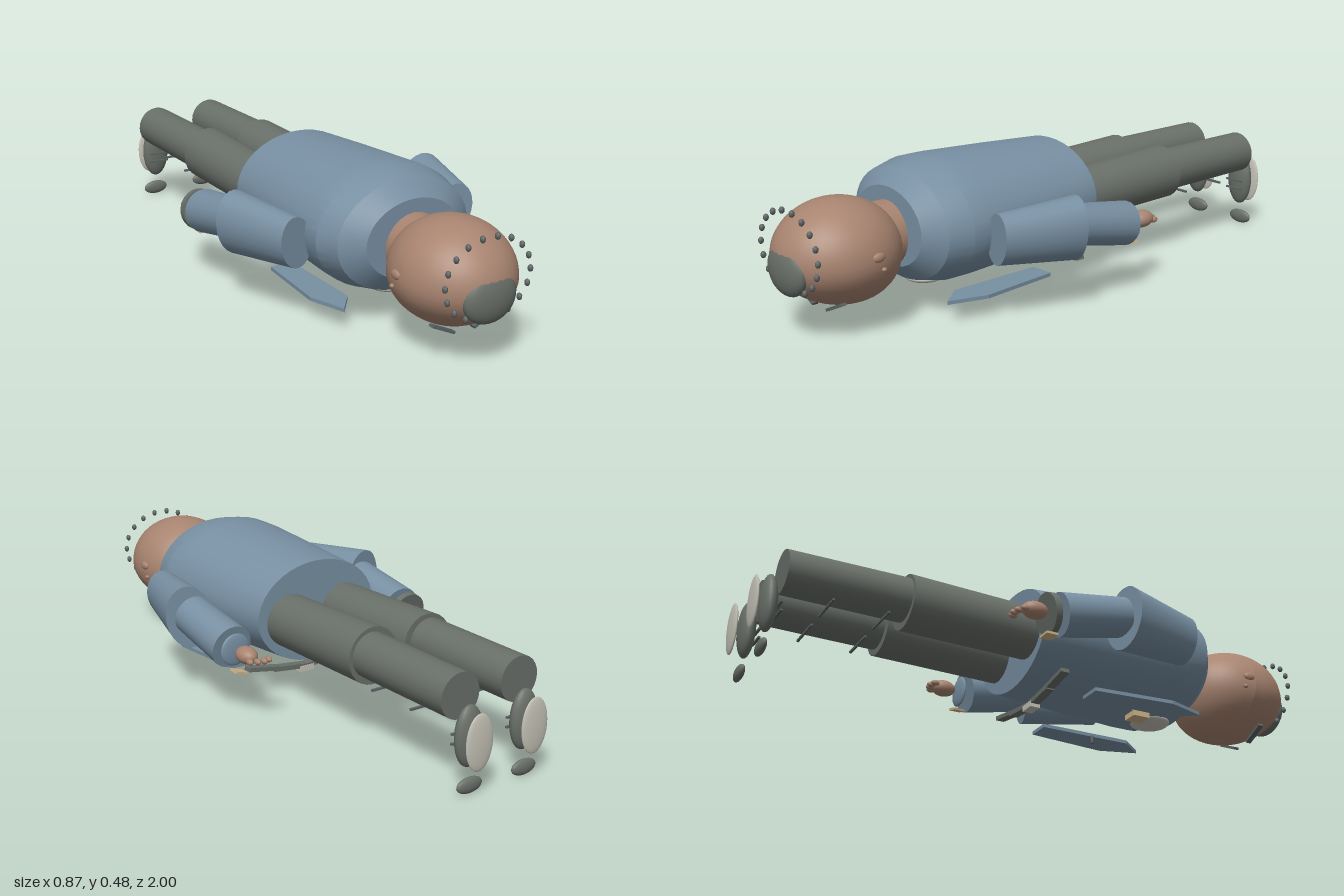
import * as THREE from 'three';
import { toCreasedNormals } from 'three/addons/utils/BufferGeometryUtils.js';

const mat = (name, color) => Object.assign(new THREE.MeshStandardMaterial({ color }), { name });
const V = (a) => new THREE.Vector3(...a);

export function createModel() {
  const model = new THREE.Group();
  model.name = 'lyingFigure';
  const blue = mat('blueCloth', 0x7890a3);
  const grey = mat('greyCloth', 0x696f69);
  const dark = mat('darkGrey', 0x5c6463);
  const skin = mat('skin', 0xa88470);
  const pale = mat('paleGrey', 0xc4c2b6);
  const tan = mat('tan', 0xcdb388);

  const add = (name, geo, material, pos = [0, 0, 0]) => {
    const m = new THREE.Mesh(geo, material);
    m.name = name;
    m.position.set(...pos);
    model.add(m);
    return m;
  };
  const ball = (name, material, pos, r, n = 24) =>
    add(name, new THREE.SphereGeometry(1, n, Math.ceil(n * 0.67)).scale(...r), material, pos);
  const box = (name, material, pos, size) => add(name, new THREE.BoxGeometry(...size), material, pos);
  // Cylinder from a to b; radii at each end, flattened by k across its depth
  const limb = (name, material, a, b, ra, rb, k = 1, n = 24) => {
    const d = V(b).sub(V(a));
    const m = add(name, new THREE.CylinderGeometry(rb, ra, d.length(), n).scale(1, 1, k), material);
    m.position.copy(V(a).add(V(b)).multiplyScalar(0.5));
    m.quaternion.setFromUnitVectors(new THREE.Vector3(0, 1, 0), d.normalize());
    return m;
  };
  // Flat bar from a to b lying in the x-y plane
  const bar = (name, material, a, b, thick, depth) => {
    const d = V(b).sub(V(a));
    const m = box(name, material, [0, 0, 0], [d.length(), thick, depth]);
    m.position.copy(V(a).add(V(b)).multiplyScalar(0.5));
    m.rotation.z = Math.atan2(d.y, d.x);
    return m;
  };

  // Jacket body, an oval lathe along z
  const profile = [[0, -0.07], [0.23, -0.07], [0.236, 0], [0.25, 0.17], [0.265, 0.4],
    [0.265, 0.47], [0.24, 0.55], [0.17, 0.6], [0, 0.6]].map((p) => new THREE.Vector2(...p));
  const body = new THREE.LatheGeometry(profile, 40).scale(1, 1, 0.74).rotateX(Math.PI / 2);
  add('jacketBody', toCreasedNormals(body, 0.3), blue, [0, 0.287, 0]);

  // Head with a narrower face side, which points down
  const head = new THREE.SphereGeometry(1, 40, 28);
  const p = head.attributes.position;
  for (let i = 0; i < p.count; i++) {
    const x = p.getX(i), y = p.getY(i), z = p.getZ(i), down = Math.max(0, -y);
    p.setXYZ(i, 0.185 * x * (1 - 0.22 * down * down), 0.168 * y, 0.203 * z - 0.045 * down * down);
  }
  head.computeVertexNormals();
  add('head', head, skin, [0, 0.247, 0.79]);
  limb('neck', skin, [0, 0.27, 0.55], [0, 0.265, 0.66], 0.1, 0.105);
  ball('nose', skin, [0, 0.088, 0.74], [0.018, 0.015, 0.025], 14);
  bar('mouth', dark, [-0.03, 0.1, 0.675], [0.03, 0.1, 0.675], 0.008, 0.008);

  // Hair cap and the ring of beads around the crown
  ball('hairCap', grey, [0, 0.227, 0.962], [0.093, 0.08, 0.036]);
  for (let i = 0; i < 16; i++) {
    const t = THREE.MathUtils.degToRad(-60 + 20 * i);
    ball('hairBead', dark, [0.152 * Math.cos(t), 0.28 + 0.124 * Math.sin(t), 0.955], [0.008, 0.011, 0.009], 12);
  }

  for (const s of [1, -1]) {
    // Face details
    ball('ear', skin, [s * 0.18, 0.265, 0.765], [0.01, 0.015, 0.023], 14);
    ball('earLobe', skin, [s * 0.181, 0.225, 0.747], [0.008, 0.007, 0.009], 10);
    bar('eyebrow', dark, [s * 0.035, 0.086, 0.85], [s * 0.115, 0.124, 0.85], 0.009, 0.02);
    ball('eye', dark, [s * 0.06, 0.112, 0.81], [0.018, 0.01, 0.012], 12);

    // Arm and hand
    limb('upperSleeve', blue, [s * 0.297, 0.272, 0.415], [s * 0.357, 0.27, 0.148], 0.062, 0.08, 1.35);
    limb('lowerSleeve', blue, [s * 0.345, 0.277, 0.15], [s * 0.342, 0.233, -0.085], 0.066, 0.072);
    ball('cuff', blue, [s * 0.342, 0.23, -0.105], [0.053, 0.053, 0.01]);
    ball('hand', skin, [s * 0.34, 0.23, -0.168], [0.032, 0.028, 0.044]);
    for (let i = 0; i < 4; i++)
      ball('finger', skin, [s * (0.292 + 0.021 * i), 0.222, -0.213 - 0.012 * Math.sin(i + 0.5)], [0.01, 0.01, 0.016], 10);
    const tab = box('cuffTab', tan, [s * 0.335, 0.157, -0.115], [0.045, 0.008, 0.04]);
    tab.rotation.z = s > 0 ? 0.3 : 0;

    // Leg
    limb('thigh', grey, [s * 0.108, 0.272, -0.04], [s * 0.106, 0.282, -0.51], 0.088, 0.092);
    limb('shin', grey, [s * 0.112, 0.286, -0.5], [s * 0.112, 0.286, -0.912], 0.073, 0.071);
    for (const z of [-0.58, -0.76])
      bar('trouserCrease', dark, [s * 0.03, 0.205, z], [s * 0.165, 0.205, z], 0.007, 0.007);

    // Shoe
    ball('shoe', grey, [s * 0.105, 0.175, -0.945], [0.05, 0.095, 0.027]);
    ball('sole', pale, [s * 0.105, 0.17, -0.99], [0.05, 0.088, 0.01]);
    ball('toeCap', grey, [s * 0.105, 0.027, -0.955], [0.047, 0.025, 0.013]);
    for (const y of [0.145, 0.175])
      bar('lace', dark, [s * 0.105 - 0.035, y, -0.912], [s * 0.105 + 0.035, y, -0.912], 0.006, 0.008);

    // Open jacket panel under the chest
    const panel = new THREE.Shape([[0.135, 0.12], [0.215, 0.12], [0.24, 0.4], [0.2, 0.53], [0.135, 0.45]]
      .map(([x, z]) => new THREE.Vector2(s * x, z)));
    const geo = new THREE.ExtrudeGeometry(panel, { depth: 0.012, bevelEnabled: false }).rotateX(Math.PI / 2);
    add('jacketPanel', geo, blue, [0, 0.078, 0]);
    limb('panelButton', dark, [s * 0.135, 0.042, 0.31], [s * 0.135, 0.068, 0.31], 0.006, 0.006, 1, 10);

    // Belt halves
    bar('belt', grey, [0, 0.072, 0], [s * 0.13, 0.086, 0], 0.016, 0.03);
    bar('beltSide', grey, [s * 0.11, 0.086, 0], [s * 0.23, 0.106, 0], 0.014, 0.03);
  }

  // Single details
  box('beltBuckle', pale, [0, 0.065, 0], [0.055, 0.02, 0.035]);
  ball('buckleStud', dark, [0, 0.06, 0.018], [0.004, 0.004, 0.004], 8);
  ball('shirtFront', pale, [0, 0.098, 0.46], [0.065, 0.02, 0.07]);
  box('badge', tan, [-0.152, 0.036, 0.315], [0.056, 0.018, 0.06]);
  limb('watchBand', grey, [-0.342, 0.23, -0.108], [-0.342, 0.226, -0.13], 0.068, 0.068);
  return model;
}
